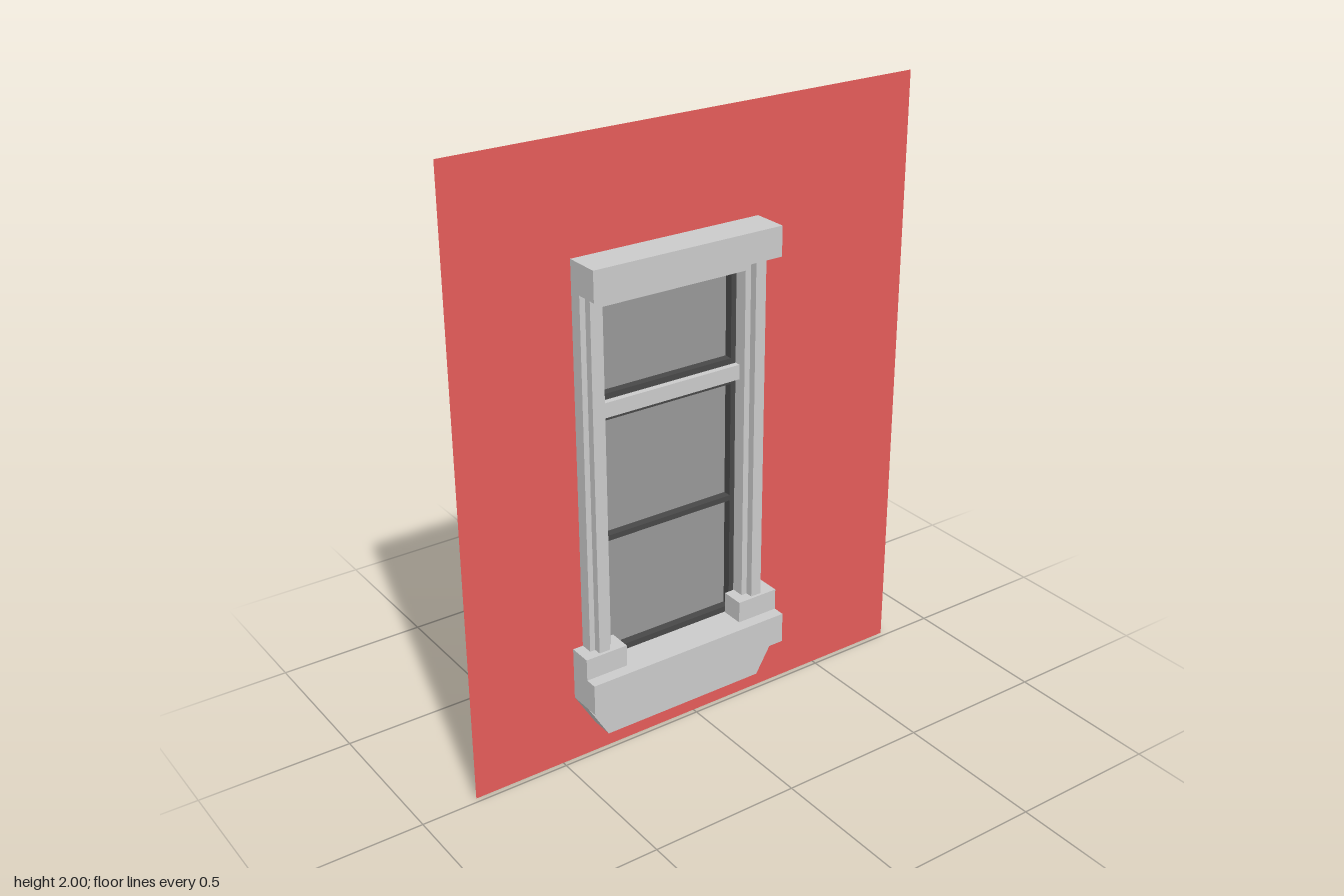
import * as THREE from 'three';

const CX = -0.09;      // window centre line
const BACK = -0.1;     // rear edge of the hollow trim
const WALL_Z = -0.017;
const GLASS_Z = -0.047;

const paint = (color) => new THREE.MeshStandardMaterial({ color, side: THREE.DoubleSide });
const stone = paint(0xcccccc);
const glass = paint(0x999999);
const dark = paint(0x484848);
const red = paint(0xe55c5a);

export function createModel() {
  const group = new THREE.Group();

  const add = (name, geometry, material) => {
    const mesh = new THREE.Mesh(geometry, material);
    mesh.name = name;
    group.add(mesh);
    return mesh;
  };

  // Box between limits (x measured from the window centre), open at the back
  const shell = (x0, x1, y0, y1, z1, z0 = BACK) => {
    const g = new THREE.BoxGeometry(x1 - x0, y1 - y0, z1 - z0);
    g.setIndex(Array.from(g.index.array).slice(0, 30));
    g.clearGroups();
    return g.translate(CX + (x0 + x1) / 2, (y0 + y1) / 2, (z0 + z1) / 2);
  };

  const rect = (Type, x0, x1, y0, y1) => new Type([
    [x0, y0], [x1, y0], [x1, y1], [x0, y1],
  ].map(([x, y]) => new THREE.Vector2(x, y)));

  // Wall with the window opening
  const wallShape = rect(THREE.Shape, -0.81, 0.81, 0, 2);
  wallShape.holes.push(rect(THREE.Path, CX - 0.28, CX + 0.28, 0.3, 1.53));
  add('wall', new THREE.ShapeGeometry(wallShape).translate(0, 0, WALL_Z), red);

  // Glazing sheet behind the wall
  add('glazing', new THREE.PlaneGeometry(1.4, 1.526).translate(CX, 0.987, GLASS_Z), glass);

  // Stepped jambs, each a folded strip
  const profile = [
    [0.325, BACK], [0.325, 0.025], [0.307, 0.025], [0.307, 0.05],
    [0.27, 0.05], [0.27, 0.025], [0.25, 0.025], [0.25, BACK],
  ];
  for (const side of [1, -1]) {
    const pos = [];
    for (let i = 0; i + 1 < profile.length; i++) {
      const ends = side > 0 ? [profile[i], profile[i + 1]] : [profile[i + 1], profile[i]];
      const [[ax, az], [bx, bz]] = ends.map(([x, z]) => [CX + side * x, z]);
      const y0 = 0.328, y1 = 1.555;
      pos.push(ax, y0, az, bx, y1, bz, bx, y0, bz, ax, y0, az, ax, y1, az, bx, y1, bz);
    }
    const g = new THREE.BufferGeometry();
    g.setAttribute('position', new THREE.Float32BufferAttribute(pos, 3));
    g.computeVertexNormals();
    add(side > 0 ? 'leftJamb' : 'rightJamb', g, stone);

    // Block at the foot of the jamb
    const [x0, x1] = side > 0 ? [0.215, 0.36] : [-0.36, -0.215];
    add(side > 0 ? 'leftSillBlock' : 'rightSillBlock',
      shell(x0, x1, 0.328, 0.4, 0.06, WALL_Z), stone);
  }

  // Horizontal trim
  add('lintel', shell(-0.325, 0.325, 1.555, 1.65, 0.1), stone);
  add('header', shell(-0.25, 0.25, 1.505, 1.555, 0.025), stone);
  add('transom', shell(-0.25, 0.25, 1.148, 1.196, 0), stone);
  add('sill', shell(-0.36, 0.36, 0.225, 0.328, 0.1), stone);

  // Apron under the sill, narrowed towards its foot
  const apron = shell(-0.36, 0.36, 0.105, 0.225, 0.06);
  const p = apron.attributes.position;
  for (let i = 0; i < p.count; i++) {
    if (p.getY(i) < 0.15) p.setX(i, CX + (p.getX(i) - CX) * 0.8);
  }
  apron.computeVertexNormals();
  add('apron', apron, stone);

  // Dark sashes: a frame with one opening per pane
  const sash = (name, y0, y1, panes) => {
    const shape = rect(THREE.Shape, CX - 0.25, CX + 0.25, y0, y1);
    for (const [a, b] of panes) {
      shape.holes.push(rect(THREE.Path, CX - 0.232, CX + 0.232, a, b));
    }
    const g = new THREE.ExtrudeGeometry(shape, { depth: 0.032, bevelEnabled: false });
    add(name, g.translate(0, 0, -0.052), dark);
  };
  sash('upperSash', 1.196, 1.505, [[1.215, 1.485]]);
  sash('lowerSash', 0.328, 1.148, [[0.348, 0.73], [0.748, 1.13]]);

  return group;
}
